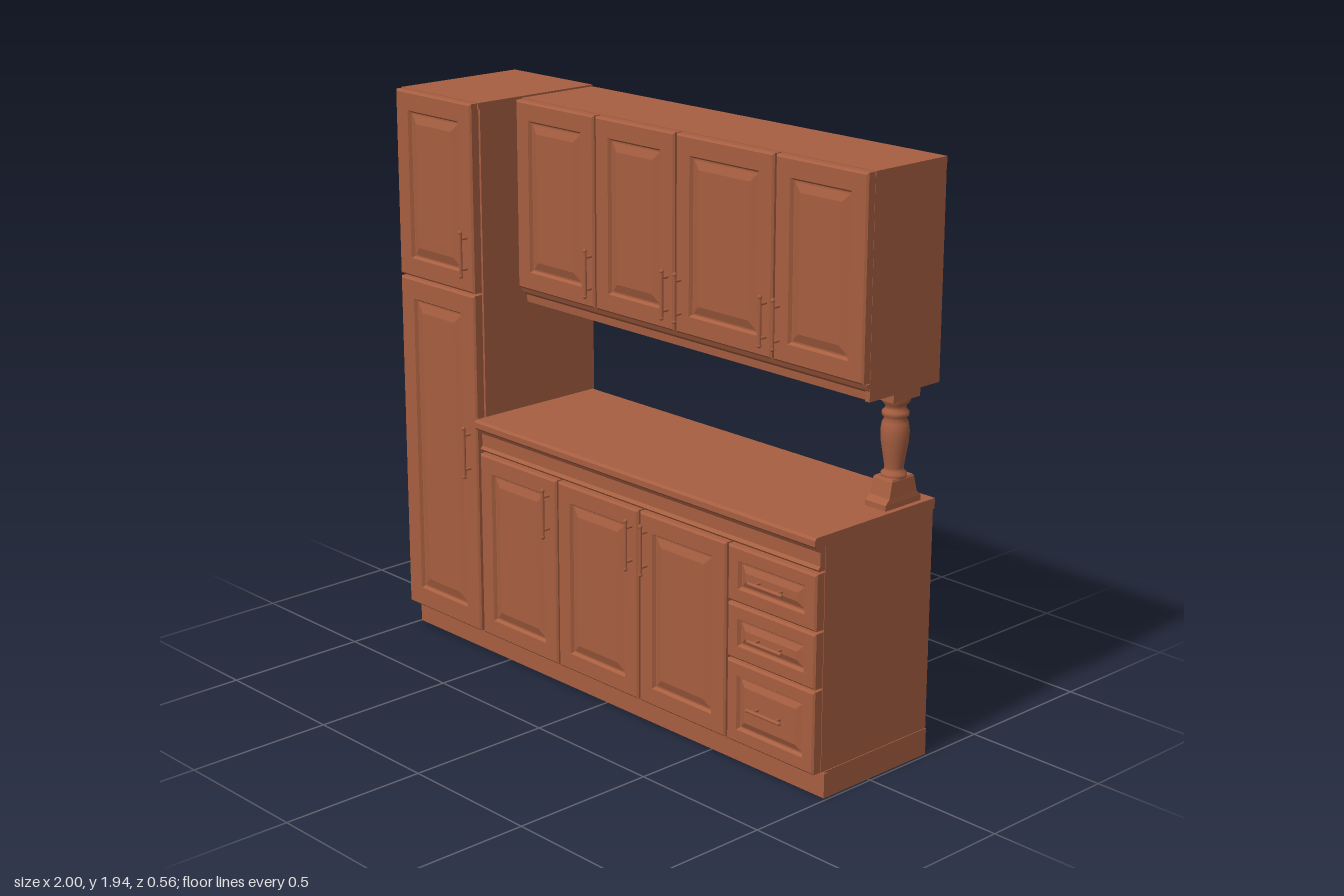
import * as THREE from 'three';

const wood = new THREE.MeshStandardMaterial({ color: 0xa65e40 });
wood.name = 'reddish brown wood';

function part(name, geometry, parent) {
  const mesh = new THREE.Mesh(geometry, wood);
  mesh.name = name;
  parent.add(mesh);
  return mesh;
}

// Box given by its limits on each axis
function box(name, x0, x1, y0, y1, z0, z1, parent) {
  const g = new THREE.BoxGeometry(x1 - x0, y1 - y0, z1 - z0);
  g.translate((x0 + x1) / 2, (y0 + y1) / 2, (z0 + z1) / 2);
  return part(name, g, parent);
}

// Profile of [z, y] points drawn out along x
function moulding(name, x0, x1, profile, parent) {
  const shape = new THREE.Shape(profile.map(([z, y]) => new THREE.Vector2(z, y)));
  const g = new THREE.ExtrudeGeometry(shape, { depth: x1 - x0, bevelEnabled: false });
  g.rotateY(-Math.PI / 2);
  g.translate(x1, 0, 0);
  return part(name, g, parent);
}

// Stack of rectangles [insetX, insetY, z], from back to front, closed at both ends
function rectLoft(x0, x1, y0, y1, rings) {
  const loops = rings.map(([ix, iy, z]) => [
    [x0 + ix, y0 + iy, z], [x1 - ix, y0 + iy, z], [x1 - ix, y1 - iy, z], [x0 + ix, y1 - iy, z]]);
  const pos = [];
  const quad = (a, b, c, d) => pos.push(...a, ...b, ...c, ...a, ...c, ...d);
  for (let r = 0; r + 1 < loops.length; r++) {
    const a = loops[r], b = loops[r + 1];
    for (let i = 0; i < 4; i++) {
      const j = (i + 1) % 4;
      quad(a[i], a[j], b[j], b[i]);
    }
  }
  const back = loops[0], front = loops[loops.length - 1];
  quad(front[0], front[1], front[2], front[3]);
  quad(back[3], back[2], back[1], back[0]);
  const g = new THREE.BufferGeometry();
  g.setAttribute('position', new THREE.Float32BufferAttribute(pos, 3));
  g.computeVertexNormals();
  return g;
}

// Framed front with a groove and a raised, bevelled panel
function panelFront(name, x0, x1, y0, y1, zBack, zFront, frame, parent) {
  const slope = frame * 0.45;
  const steps = [[0, zBack], [0, zFront - 0.006], [0.006, zFront], [frame, zFront],
    [frame + 0.007, zFront - 0.011], [frame + 0.012, zFront - 0.011],
    [frame + 0.012 + slope, zFront - 0.002]];
  return part(name, rectLoft(x0, x1, y0, y1, steps.map(([i, z]) => [i, i, z])), parent);
}

// Bar pull on two posts
function handle(x, y, z, length, horizontal, parent) {
  const g = new THREE.Group();
  g.name = 'handle';
  const bar = part('handleBar', new THREE.CylinderGeometry(0.006, 0.006, length, 10), g);
  bar.position.z = 0.027;
  for (const s of [-1, 1]) {
    const post = part('handlePost', new THREE.CylinderGeometry(0.005, 0.005, 0.03, 8), g);
    post.rotation.x = Math.PI / 2;
    post.position.set(0, s * length * 0.34, 0.012);
    const knob = part('handleTip', new THREE.SphereGeometry(0.0075, 10, 6), g);
    knob.position.set(0, s * length * 0.48, 0.027);
  }
  g.position.set(x, y, z);
  if (horizontal) g.rotation.z = Math.PI / 2;
  parent.add(g);
}

function group(name, parent) {
  const g = new THREE.Group();
  g.name = name;
  parent.add(g);
  return g;
}

export function createModel() {
  const model = new THREE.Group();
  model.name = 'kitchenCabinets';

  // Tall cupboard
  const tall = group('tallCupboard', model);
  box('tallBody', -0.998, -0.595, 0.09, 1.92, -0.28, 0.212, tall);
  box('tallTop', -1, -0.593, 1.92, 1.942, -0.28, 0.22, tall);
  box('tallPlinth', -0.998, -0.595, 0, 0.09, -0.28, 0.2, tall);
  panelFront('tallLowerDoor', -0.997, -0.6, 0.09, 1.292, 0.215, 0.25, 0.07, tall);
  panelFront('tallUpperDoor', -0.997, -0.6, 1.3, 1.94, 0.215, 0.25, 0.065, tall);
  handle(-0.637, 0.74, 0.25, 0.18, false, tall);
  handle(-0.632, 1.435, 0.25, 0.155, false, tall);

  // Base units
  const base = group('baseUnits', model);
  box('baseBody', -0.595, 0.987, 0.09, 0.83, -0.27, 0.212, base);
  box('basePlinth', -0.595, 0.99, 0, 0.09, -0.27, 0.2, base);
  box('plinthBoard', -0.97, 0.995, 0.005, 0.085, 0.19, 0.206, base);
  moulding('frieze', -0.593, 0.985, [[0.2, 0.75], [0.235, 0.75], [0.24, 0.757], [0.232, 0.767],
    [0.232, 0.81], [0.245, 0.83], [0.2, 0.83]], base);
  moulding('worktop', -0.593, 0.992, [[-0.272, 0.83], [0.255, 0.83], [0.264, 0.838],
    [0.264, 0.857], [0.257, 0.865], [-0.272, 0.865]], base);
  const baseEdges = [-0.592, -0.192, 0.205, 0.606];
  for (let i = 0; i < 3; i++) {
    panelFront('baseDoor', baseEdges[i] + 0.004, baseEdges[i + 1] - 0.004, 0.09, 0.743,
      0.205, 0.248, 0.06, base);
  }
  for (const x of [-0.232, 0.173, 0.243]) handle(x, 0.625, 0.248, 0.17, false, base);
  for (const [y0, y1, grip] of [[0.09, 0.363, 0.23], [0.371, 0.552, 0.46], [0.56, 0.743, 0.65]]) {
    panelFront('drawerFront', 0.61, 0.985, y0, y1, 0.205, 0.248, 0.045, base);
    handle(0.795, grip, 0.246, 0.14, true, base);
  }

  // Wall units, with a shallow recess at the back
  const upper = group('wallUnits', model);
  box('upperBody', -0.595, 0.975, 1.236, 1.92, -0.258, 0.02, upper);
  box('upperTop', -0.595, 0.988, 1.915, 1.936, -0.28, 0.034, upper);
  box('upperEndPanel', 0.968, 0.986, 1.236, 1.92, -0.28, 0.034, upper);
  box('upperFaceFrame', -0.595, 0.97, 1.29, 1.92, 0.015, 0.034, upper);
  moulding('lightRail', -0.593, 0.985, [[0, 1.236], [0.022, 1.236], [0.024, 1.262],
    [0.042, 1.275], [0.05, 1.292], [0, 1.292]], upper);
  const upperEdges = [-0.592, -0.2, 0.177, 0.609, 0.989];
  for (let i = 0; i < 4; i++) {
    panelFront('upperDoor', upperEdges[i] + 0.004, upperEdges[i + 1] - 0.004, 1.295, 1.934,
      0.03, 0.066, 0.062, upper);
  }
  for (const x of [-0.217, 0.147, 0.206, 0.582, 0.637]) handle(x, 1.415, 0.066, 0.16, false, upper);

  // Turned post between worktop and wall units
  const post = group('turnedPost', model);
  const foot = part('postFoot', rectLoft(-0.042, 0.042, -0.08, 0.08,
    [[0, 0, 0], [0, 0, 0.018], [0.001, 0.018, 0.035], [0.003, 0.03, 0.085], [0.006, 0.034, 0.092]]), post);
  foot.rotation.x = -Math.PI / 2;
  foot.position.y = 0.865;
  const profile = [[0.032, 0.08], [0.041, 0.088], [0.041, 0.1], [0.03, 0.108], [0.03, 0.118],
    [0.034, 0.145], [0.043, 0.2], [0.045, 0.235], [0.041, 0.262], [0.033, 0.275],
    [0.042, 0.284], [0.042, 0.297], [0.032, 0.305], [0.034, 0.318], [0.045, 0.33], [0.045, 0.345]];
  const spindle = part('postSpindle', new THREE.LatheGeometry(
    profile.map(([r, y]) => new THREE.Vector2(r, y)), 28), post);
  spindle.position.y = 0.865;
  box('postCap', -0.044, 0.044, 1.205, 1.238, -0.06, 0.06, post);
  post.position.set(0.932, 0, -0.145);

  return model;
}
